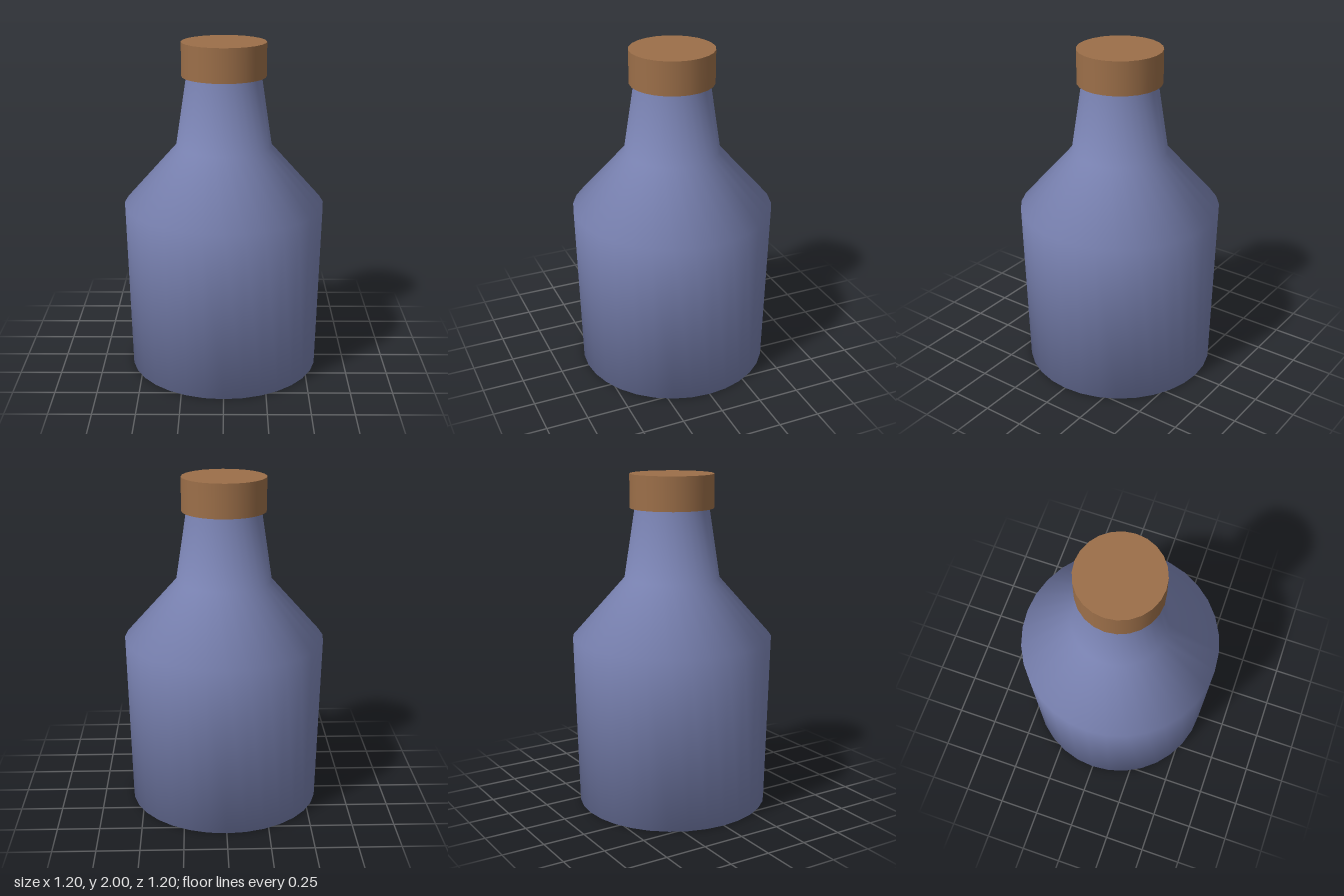
import * as THREE from 'three';

export function createModel() {
  const model = new THREE.Group();
  model.name = 'bottle';

  const glass = new THREE.MeshStandardMaterial({ color: 0x7b84b4 });
  glass.name = 'blue glass';
  const cork = new THREE.MeshStandardMaterial({ color: 0x9c6f49 });
  cork.name = 'brown cork';

  // Body: flat base, slightly flared wall, sloped shoulder, tapered neck
  const profile = [
    [0, 0], [0.575, 0], [0.6, 1.03], [0.285, 1.385], [0.22, 1.81],
  ].map(([r, y]) => new THREE.Vector2(r, y));
  const body = new THREE.Mesh(new THREE.LatheGeometry(profile, 32), glass);
  body.name = 'bottleBody';
  model.add(body);

  // Stopper: wider than the neck, with sharp rims
  const stopper = new THREE.Mesh(new THREE.CylinderGeometry(0.25, 0.25, 0.2, 24), cork);
  stopper.name = 'stopper';
  stopper.position.y = 1.9;
  model.add(stopper);

  return model;
}
